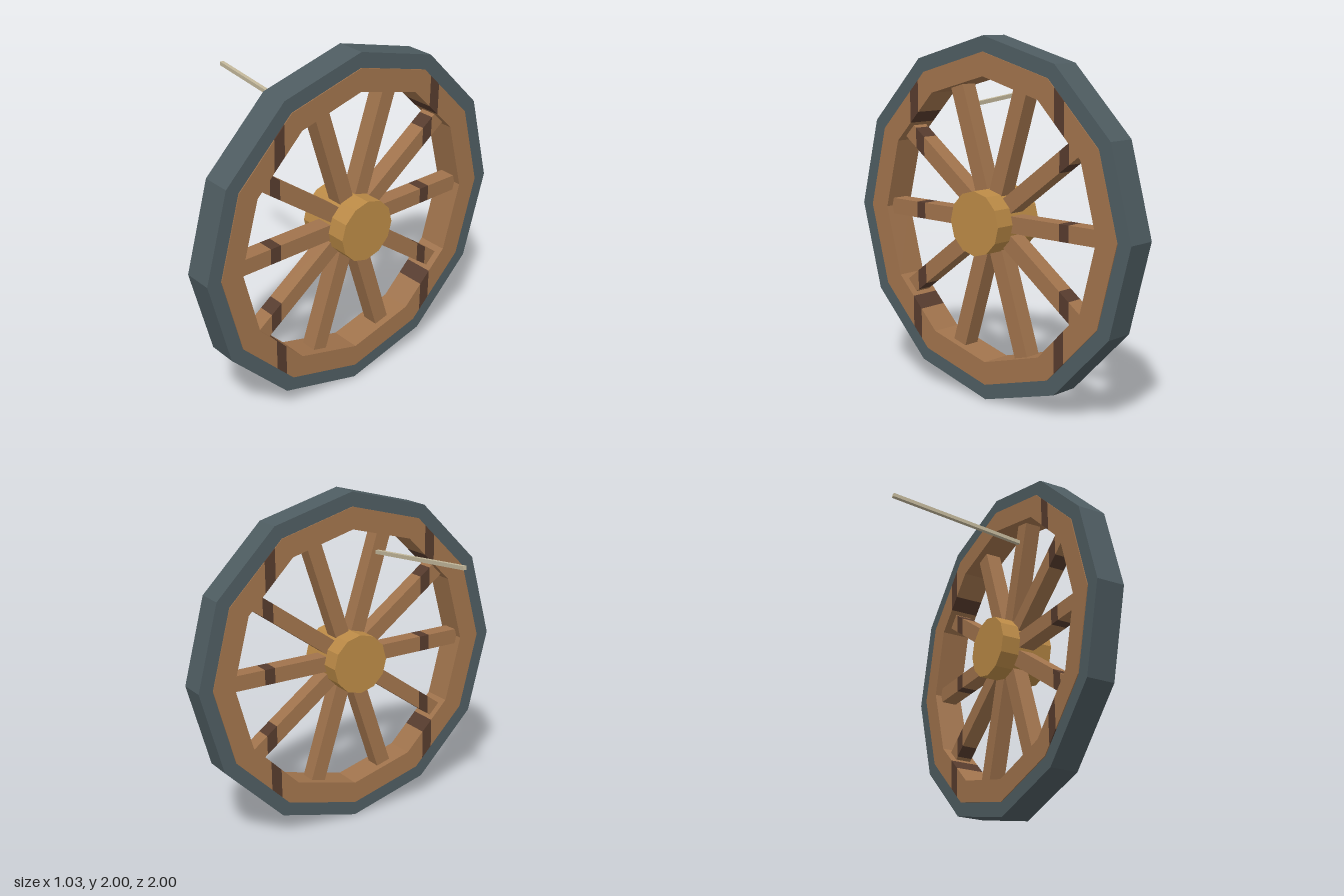
import * as THREE from 'three';

const mat = (name, color) => new THREE.MeshStandardMaterial({ name, color });

const WHEEL_X = 0.355; // centre plane of the wheel
const AXLE_Y = 1;

// Corner of a twelve-sided ring, first corner at the side
const corner = (r, i) => {
  const a = (i * Math.PI) / 6;
  return new THREE.Vector2(r * Math.cos(a), r * Math.sin(a));
};
const ringPoints = (r) => Array.from({ length: 12 }, (_, i) => corner(r, i));

// Keep the part of a convex polygon where sign * x >= sign * limit
function clip(points, limit, sign) {
  const out = [];
  points.forEach((p, i) => {
    const q = points[(i + 1) % points.length];
    const dp = sign * (p.x - limit);
    const dq = sign * (q.x - limit);
    if (dp >= 0) out.push(p);
    if (dp * dq < 0) out.push(p.clone().lerp(q, dp / (dp - dq)));
  });
  return out;
}

// Extrude a flat outline along the axle, centred on the wheel plane
function plate(shape, depth, material, name) {
  const geo = new THREE.ExtrudeGeometry(shape, { depth, bevelEnabled: false });
  geo.translate(0, 0, -depth / 2);
  geo.rotateY(Math.PI / 2);
  const mesh = new THREE.Mesh(geo, material);
  mesh.name = name;
  return mesh;
}

export function createModel() {
  const wood = mat('wood', 0xa0734c);
  const darkWood = mat('dark wood', 0x563b2d);
  const iron = mat('iron', 0x4e5c61);
  const hubWood = mat('hub wood', 0xbb8a46);
  const pale = mat('pale pin', 0xc2b79a);
  [wood, darkWood, iron, hubWood, pale].forEach((m) => { m.flatShading = false; });

  const model = new THREE.Group();
  model.name = 'spokedWheel';
  const wheel = new THREE.Group();
  wheel.name = 'wheel';
  wheel.position.set(WHEEL_X, AXLE_Y, 0);
  model.add(wheel);

  // Vertical bands across the wood: the two narrow ones are dark
  const bands = [
    [-2, -0.57, wood], [-0.57, -0.505, darkWood], [-0.505, 0.505, wood],
    [0.505, 0.57, darkWood], [0.57, 2, wood],
  ];
  function bandedPart(points, depth, name) {
    const group = new THREE.Group();
    group.name = name;
    for (const [lo, hi, material] of bands) {
      const piece = clip(clip(points, lo, 1), hi, -1);
      if (piece.length < 3 || Math.abs(THREE.ShapeUtils.area(piece)) < 1e-6) continue;
      group.add(plate(new THREE.Shape(piece), depth, material, name + 'Piece'));
    }
    wheel.add(group);
  }

  // Iron tyre
  const tyre = new THREE.Shape(ringPoints(1));
  tyre.holes.push(new THREE.Path(ringPoints(0.915).reverse()));
  wheel.add(plate(tyre, 0.166, iron, 'tyre'));

  // Wooden rim, one straight block per side
  for (let i = 0; i < 12; i++) {
    bandedPart(
      [corner(0.785, i), corner(0.915, i), corner(0.915, i + 1), corner(0.785, i + 1)],
      0.176, 'rimBlock');
  }

  // Ten square spokes
  for (let i = 0; i < 10; i++) {
    const a = (i * Math.PI) / 5;
    const at = (r, s) => new THREE.Vector2(r, s).rotateAround(new THREE.Vector2(), a);
    bandedPart([at(0.1, -0.046), at(0.785, -0.046), at(0.785, 0.046), at(0.1, 0.046)],
      0.095, 'spoke');
  }

  // Hub
  const hubGeo = new THREE.CylinderGeometry(0.178, 0.178, 0.32, 12).toNonIndexed();
  hubGeo.computeVertexNormals();
  hubGeo.rotateZ(Math.PI / 2);
  const hub = new THREE.Mesh(hubGeo, hubWood);
  hub.name = 'hub';
  wheel.add(hub);

  // Thin pin sticking out of an upper spoke
  const start = new THREE.Vector3(0.34, 1.618, 0.19);
  const end = new THREE.Vector3(-0.514, 1.705, 0.19);
  const pin = new THREE.Mesh(new THREE.BoxGeometry(start.distanceTo(end), 0.022, 0.022), pale);
  pin.name = 'pin';
  pin.position.copy(start).add(end).multiplyScalar(0.5);
  pin.rotation.z = Math.atan2(start.y - end.y, start.x - end.x);
  model.add(pin);

  return model;
}
